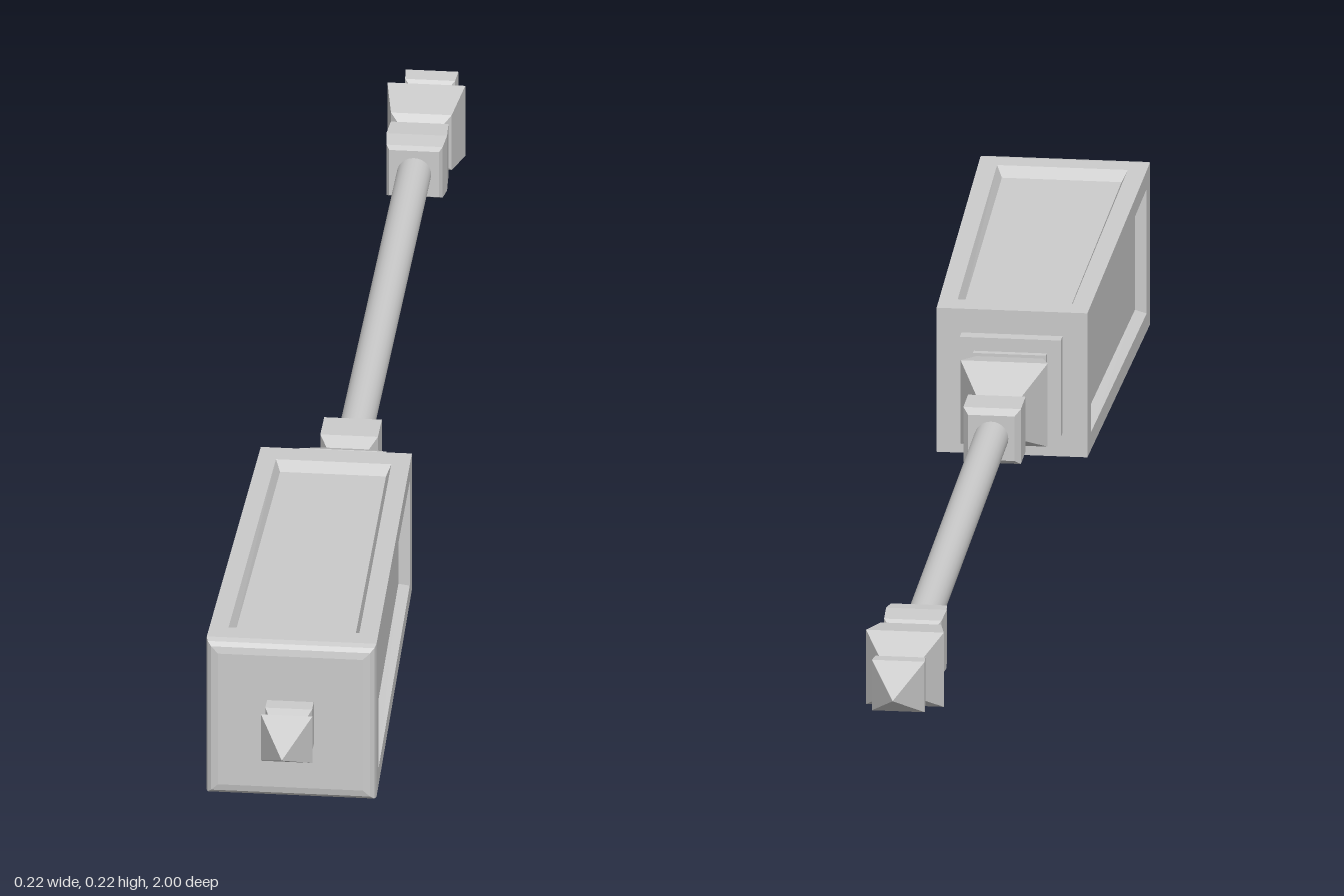
import * as THREE from 'three';

const AXIS_Y = 0.11;
const material = new THREE.MeshStandardMaterial({ color: 0xcccccc, flatShading: true });
const smooth = new THREE.MeshStandardMaterial({ color: 0xcccccc });

// Square-section solid along z, from [z, halfWidth] pairs in rising z
function squareTurned(name, profile) {
  const points = profile.map(([z, h]) => new THREE.Vector2(h * Math.SQRT2, z));
  const geometry = new THREE.LatheGeometry(points, 4, Math.PI / 4).toNonIndexed();
  geometry.rotateX(Math.PI / 2);
  geometry.computeVertexNormals();
  const mesh = new THREE.Mesh(geometry, material);
  mesh.name = name;
  return mesh;
}

// One tapered side of the head: border, sloped lip and sunken panel
function panelSide() {
  const back = 0.295, front = 0.872;
  const height = z => 0.097 + 0.012 * (z - back) / (front - back);
  const ring = (z0, z1, w0, w1, sink) => [
    [-w0, height(z0) - sink, z0], [-w1, height(z1) - sink, z1],
    [w1, height(z1) - sink, z1], [w0, height(z0) - sink, z0],
  ];
  const rings = [
    ring(back, front, 0.097, 0.109, 0),
    ring(0.33, 0.842, 0.074, 0.084, 0),
    ring(0.338, 0.834, 0.068, 0.077, 0.014),
  ];
  const positions = [];
  const quad = (a, b, c, d) => positions.push(...a, ...b, ...c, ...a, ...c, ...d);
  for (let r = 0; r < 2; r++) {
    for (let i = 0; i < 4; i++) {
      const j = (i + 1) % 4;
      quad(rings[r][i], rings[r][j], rings[r + 1][j], rings[r + 1][i]);
    }
  }
  quad(...rings[2]);
  const geometry = new THREE.BufferGeometry();
  geometry.setAttribute('position', new THREE.Float32BufferAttribute(positions, 3));
  geometry.computeVertexNormals();
  return geometry;
}

export function createModel() {
  const model = new THREE.Group();
  model.name = 'mace';
  const body = new THREE.Group();
  body.name = 'maceBody';
  body.position.y = AXIS_Y;
  model.add(body);

  // Four-sided head with a sunken panel on every side
  const head = new THREE.Group();
  head.name = 'head';
  const side = panelSide();
  for (let i = 0; i < 4; i++) {
    const panel = new THREE.Mesh(side, material);
    panel.name = 'headPanel';
    panel.rotation.z = i * Math.PI / 2;
    head.add(panel);
  }
  head.add(
    squareTurned('headFrontCap', [[0.872, 0.109], [0.881, 0.107], [0.886, 0.102], [0.888, 0.093], [0.888, 0]]),
    squareTurned('headBackCap', [[0.295, 0], [0.295, 0.097]]),
  );
  body.add(head);

  // Pointed finial on the front of the head
  body.add(squareTurned('frontFinial', [
    [0.885, 0.03], [0.91, 0.03], [0.922, 0.025], [0.936, 0.033], [1, 0],
  ]));

  // Stepped collar, flared neck and chamfered block behind the head
  body.add(
    squareTurned('collar', [
      [0.268, 0], [0.268, 0.047], [0.277, 0.047], [0.277, 0.065], [0.296, 0.065],
    ]),
    squareTurned('neck', [[0.145, 0.026], [0.21, 0.056], [0.272, 0.042]]),
    squareTurned('neckBlock', [
      [0.07, 0], [0.07, 0.03], [0.08, 0.037], [0.13, 0.037], [0.15, 0.026], [0.15, 0],
    ]),
  );

  // Round shaft
  const shaft = new THREE.Mesh(new THREE.CylinderGeometry(0.022, 0.022, 0.8, 24), smooth);
  shaft.name = 'shaft';
  shaft.rotation.x = Math.PI / 2;
  shaft.position.z = -0.32;
  body.add(shaft);

  // Pommel: block, flared bulb and pointed end
  body.add(
    squareTurned('pommelBlock', [
      [-0.792, 0.028], [-0.78, 0.037], [-0.742, 0.039], [-0.715, 0.036], [-0.708, 0.032], [-0.708, 0],
    ]),
    squareTurned('pommelBulb', [
      [-0.915, 0.024], [-0.866, 0.05], [-0.802, 0.039], [-0.792, 0.028],
    ]),
    squareTurned('pommelFinial', [
      [-1, 0], [-0.938, 0.034], [-0.915, 0.032], [-0.908, 0.024], [-0.908, 0],
    ]),
  );
  return model;
}
